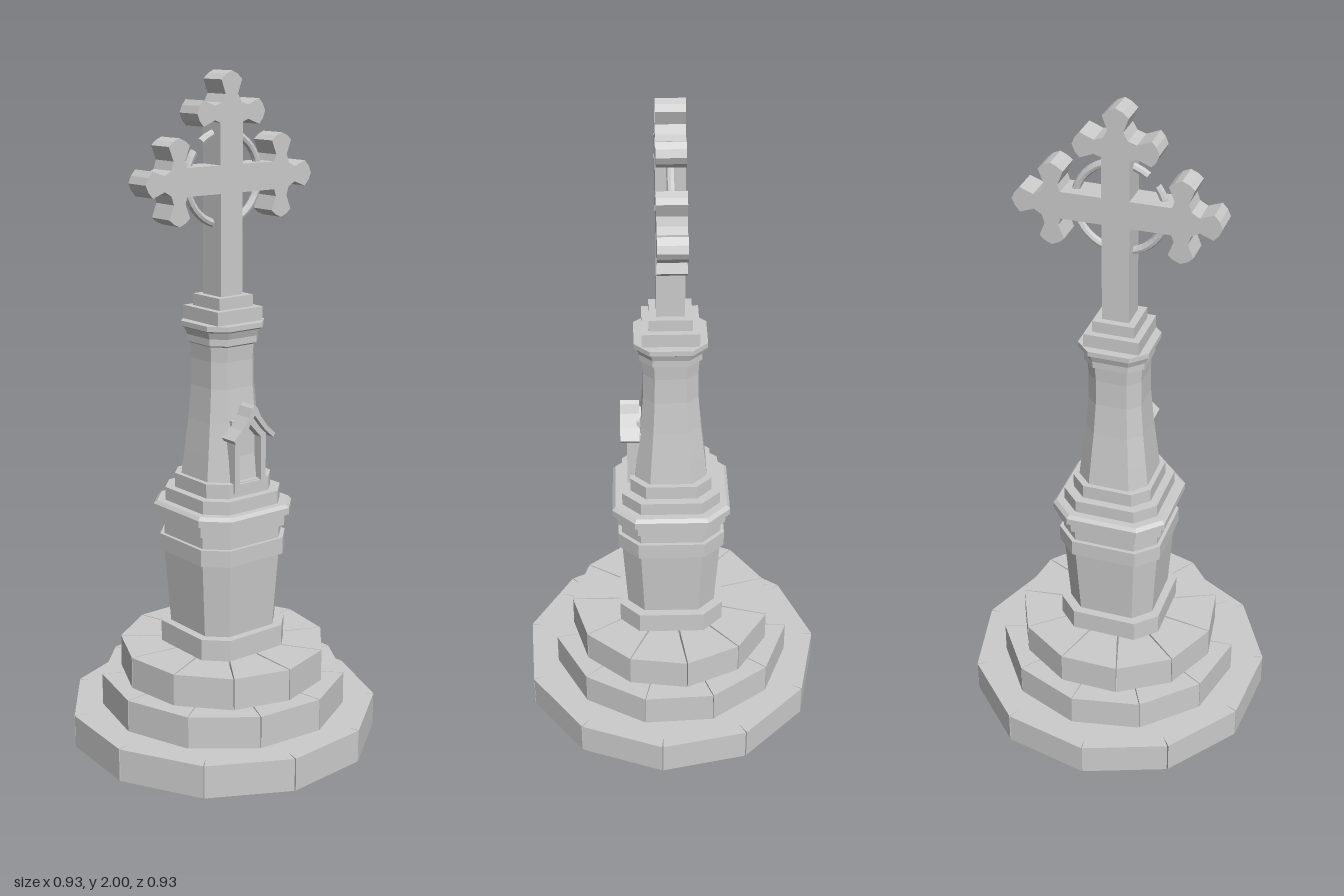
import * as THREE from 'three';

const material = new THREE.MeshStandardMaterial({ color: 0xcccccc, flatShading: true });
const SIDES = 11;
const STEP = (Math.PI * 2) / SIDES;

function add(parent, name, geometry) {
  const mesh = new THREE.Mesh(geometry, material);
  mesh.name = name;
  parent.add(mesh);
  return mesh;
}

const polar = (r, a) => new THREE.Vector2(r * Math.sin(a), r * Math.cos(a));
const points = (list) => list.map(([x, y]) => new THREE.Vector2(x, y));
const extrude = (shape, depth) => new THREE.ExtrudeGeometry(shape, { depth, bevelEnabled: false });

// Plan shape raised from y0 to y1
const slab = (shape, y0, y1) => extrude(shape, y1 - y0).rotateX(-Math.PI / 2).translate(0, y0, 0);

// Side-facing shape (drawn in z and y) spanning x0 to x1
const sidePanel = (shape, x0, x1) => extrude(shape, x1 - x0).rotateY(Math.PI / 2).translate(x0, 0, 0);

// Square plan with chamfered corners, lofted through [halfWidth, y] pairs
function chamferedLoft(profile, flat) {
  const geo = new THREE.LatheGeometry(points(profile), 8, Math.PI / 8);
  const pos = geo.attributes.position;
  for (let i = 0; i < pos.count; i++) {
    const x = pos.getX(i), z = pos.getZ(i);
    const half = Math.hypot(x, z);
    const wideX = Math.abs(x) > Math.abs(z);
    pos.setX(i, Math.sign(x) * half * (wideX ? 1 : flat));
    pos.setZ(i, Math.sign(z) * half * (wideX ? flat : 1));
  }
  const out = geo.toNonIndexed();
  out.computeVertexNormals();
  return out;
}

// Lowest step: one ring with a narrow notch cut at every corner
function bottomStep(phase) {
  const outline = [], hole = [];
  for (let i = 0; i < SIDES; i++) {
    const a = phase + i * STEP;
    outline.push(polar(0.47, a - 0.004), polar(0.43, a), polar(0.47, a + 0.004));
    hole.push(polar(0.34, a));
  }
  // The hole winds opposite to the outline so its wall faces inward
  const shape = new THREE.Shape(outline);
  shape.holes.push(new THREE.Path(hole.reverse()));
  return slab(shape, 0, 0.1);
}

// Upper steps: separate stone blocks with narrow joints
function blockStep(name, inner, outer, phase, y0, y1, gap) {
  const group = new THREE.Group();
  group.name = name;
  for (let i = 0; i < SIDES; i++) {
    const a0 = phase + i * STEP, a1 = a0 + STEP;
    const gi = gap / inner, go = gap / outer * 0.5;
    const shape = new THREE.Shape([
      polar(inner, a0 + gi), polar(outer, a0 + go), polar(outer, a1 - go), polar(inner, a1 - gi),
    ]);
    add(group, 'stepBlock', slab(shape, y0, y1));
  }
  return group;
}

// Cross outline with three-lobed arm ends
function crossShape() {
  const half = [
    [0.04, 0.04], [0.158, 0.04], [0.165, 0.06], [0.149, 0.1], [0.164, 0.113], [0.185, 0.122],
    [0.206, 0.113], [0.221, 0.1], [0.205, 0.06], [0.213, 0.035], [0.236, 0.022],
    [0.276, 0.037], [0.291, 0.02], [0.3, 0],
  ];
  // Runs from the lower corner, round the tip, to just before the next arm's corner
  const arm = [
    ...half.slice(0, -1).map(([u, v]) => [u, -v]),
    ...half.slice(1).reverse(),
  ];
  const outline = [];
  for (let k = 0; k < 3; k++) {
    for (const [u, v] of arm) {
      outline.push(new THREE.Vector2(u, v).rotateAround(new THREE.Vector2(), k * Math.PI / 2));
    }
  }
  outline.push(...points([[-0.04, -0.04], [-0.04, -0.345], [0.04, -0.345]]));
  return new THREE.Shape(outline);
}

export function createModel() {
  const model = new THREE.Group();
  model.name = 'waysideCross';

  // Stepped base
  const deg = Math.PI / 180;
  add(model, 'bottomStep', bottomStep(4.3 * deg));
  model.add(blockStep('middleStep', 0.245, 0.373, 13.3 * deg, 0.1, 0.198, 0.002));
  model.add(blockStep('topStep', 0.16, 0.314, 24.55 * deg, 0.198, 0.295, 0.003));

  // Pedestal with plinth and cornice
  add(model, 'pedestal', chamferedLoft([
    [0, 0.295], [0.16, 0.295], [0.16, 0.36], [0.135, 0.36],
    [0.15, 0.59], [0.161, 0.59], [0.161, 0.64], [0.15, 0.64], [0.15, 0.68],
    [0.164, 0.68], [0.164, 0.712], [0.177, 0.715], [0.177, 0.735], [0.168, 0.745],
    [0.147, 0.745], [0.147, 0.785], [0.122, 0.785], [0.122, 0.828], [0, 0.83],
  ], 0.62));

  // Waisted shaft with capital
  add(model, 'shaft', chamferedLoft([
    [0, 0.82], [0.108, 0.825], [0.1, 0.9], [0.089, 1.0], [0.081, 1.1], [0.08, 1.18],
    [0.083, 1.225], [0.091, 1.23], [0.091, 1.25], [0.098, 1.27], [0.106, 1.275], [0.106, 1.29],
    [0, 1.292],
  ], 0.58));
  add(model, 'lowerCapBlock', new THREE.BoxGeometry(0.165, 0.04, 0.165).translate(0, 1.311, 0));
  add(model, 'upperCapBlock', new THREE.BoxGeometry(0.124, 0.037, 0.124).translate(0, 1.347, 0));

  // Cross and its broken ring
  const cross = add(model, 'cross', sidePanel(crossShape(), -0.041, 0.041));
  cross.position.y = 1.7;
  const ring = add(model, 'crossRing', new THREE.TorusGeometry(0.131, 0.012, 8, 40, 344 * deg));
  ring.rotation.set(0, Math.PI / 2, 143 * deg);
  ring.position.y = 1.7;

  // Shrine niche on the left side
  const niche = new THREE.Group();
  niche.name = 'niche';
  model.add(niche);
  const frame = new THREE.Shape(points([
    [-0.058, 0.8], [0.058, 0.8], [0.058, 0.975], [0, 1.035], [-0.058, 0.975],
  ]));
  frame.holes.push(new THREE.Path(points([
    [-0.04, 0.825], [-0.04, 0.955], [0, 0.998], [0.04, 0.955], [0.04, 0.825],
  ])));
  add(niche, 'nicheFrame', sidePanel(frame, 0.075, 0.13));
  add(niche, 'nicheBack', new THREE.BoxGeometry(0.03, 0.2, 0.09).translate(0.085, 0.91, 0));

  // Swept gable roof
  const slope = [[0.078, 0.965], [0.048, 0.992], [0.022, 1.026], [0.01, 1.052]];
  const under = [[0.07, 0.954], [0.04, 0.98], [0.014, 1.012]];
  const flip = ([z, y]) => [-z, y];
  const roof = new THREE.Shape(points([
    ...slope, [0, 1.06], ...slope.map(flip).reverse(),
    ...under.map(flip), [0, 1.03], ...under.reverse(),
  ]));
  add(niche, 'nicheRoof', sidePanel(roof, 0.093, 0.149));

  return model;
}
